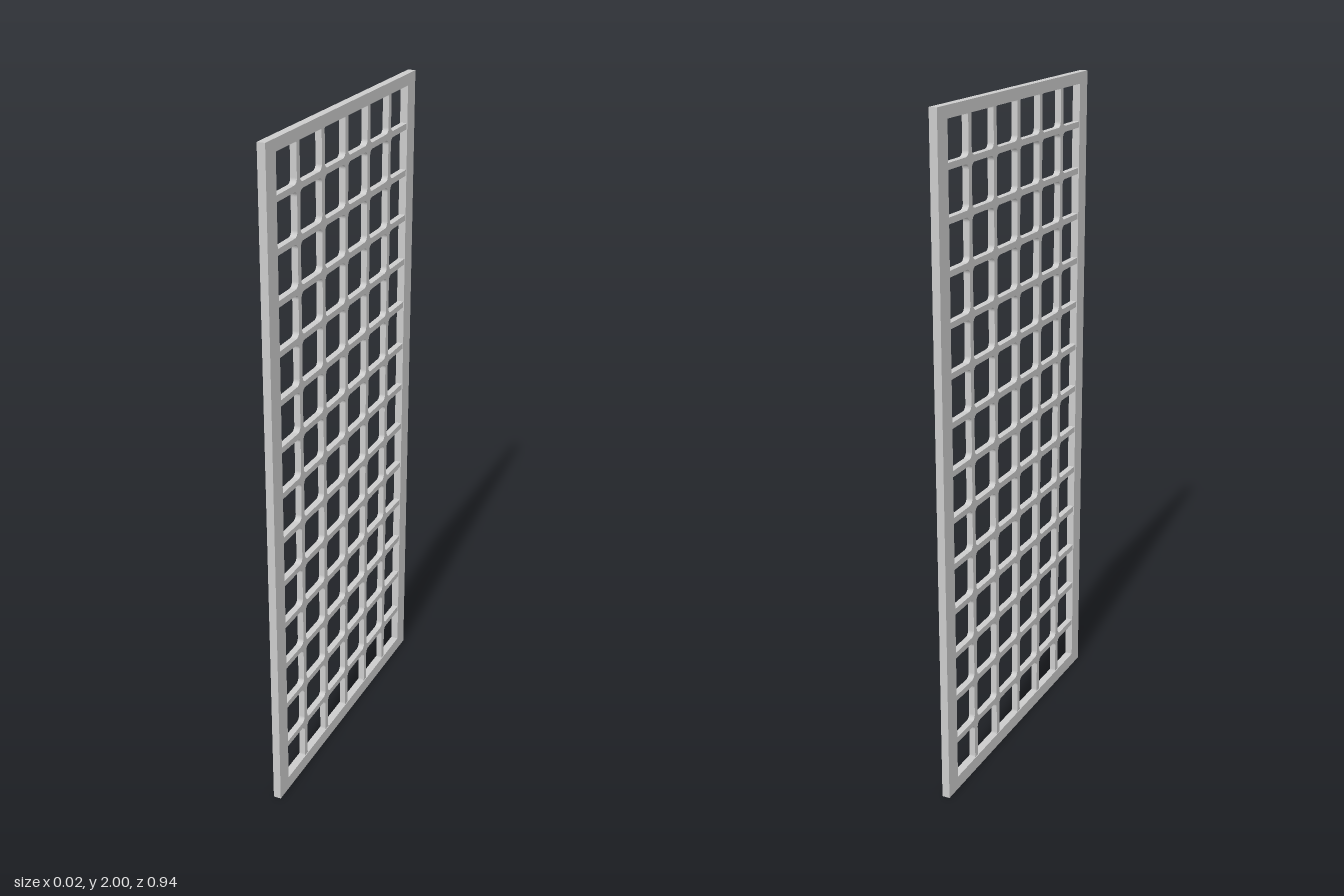
import * as THREE from 'three';

const material = new THREE.MeshStandardMaterial({ color: 0xcccccc });

// Closed rectangle outline, optionally with rounded corners
function rect(path, x0, y0, x1, y1, r = 0) {
  if (r === 0) {
    path.moveTo(x0, y0).lineTo(x1, y0).lineTo(x1, y1).lineTo(x0, y1).closePath();
    return path;
  }
  path.moveTo(x0 + r, y0);
  path.absarc(x1 - r, y0 + r, r, -Math.PI / 2, 0, false);
  path.absarc(x1 - r, y1 - r, r, 0, Math.PI / 2, false);
  path.absarc(x0 + r, y1 - r, r, Math.PI / 2, Math.PI, false);
  path.absarc(x0 + r, y0 + r, r, Math.PI, Math.PI * 1.5, false);
  path.closePath();
  return path;
}

// Extruded plate standing in the YZ plane, centred on x = 0
function plate(name, shape, thickness) {
  const geometry = new THREE.ExtrudeGeometry(shape, { depth: thickness, bevelEnabled: false, curveSegments: 5 });
  geometry.translate(0, 0, -thickness / 2);
  geometry.rotateY(Math.PI / 2);
  const mesh = new THREE.Mesh(geometry, material);
  mesh.name = name;
  return mesh;
}

export function createModel() {
  const group = new THREE.Group();
  group.name = 'latticePanel';

  // Outer frame with one large opening
  const frame = rect(new THREE.Shape(), -0.47, 0, 0.47, 2);
  frame.holes.push(rect(new THREE.Path(), -0.416, 0.041, 0.416, 1.966));
  group.add(plate('frame', frame, 0.0235));

  // Lattice sheet let into the frame, its outer cells partly covered by it
  const columns = 6, rows = 14, pitchZ = 0.1457, pitchY = 0.1402, bar = 0.018;
  const middleY = 1.004;
  const lattice = rect(new THREE.Shape(), -0.455, 0.012, 0.455, 1.992);
  for (let c = 0; c < columns; c++) {
    for (let r = 0; r < rows; r++) {
      const z = (c - columns / 2) * pitchZ + bar / 2;
      const y = middleY + (r - rows / 2) * pitchY + bar / 2;
      lattice.holes.push(rect(new THREE.Path(), z, y, z + pitchZ - bar, y + pitchY - bar, 0.016));
    }
  }
  group.add(plate('lattice', lattice, 0.019));

  return group;
}
